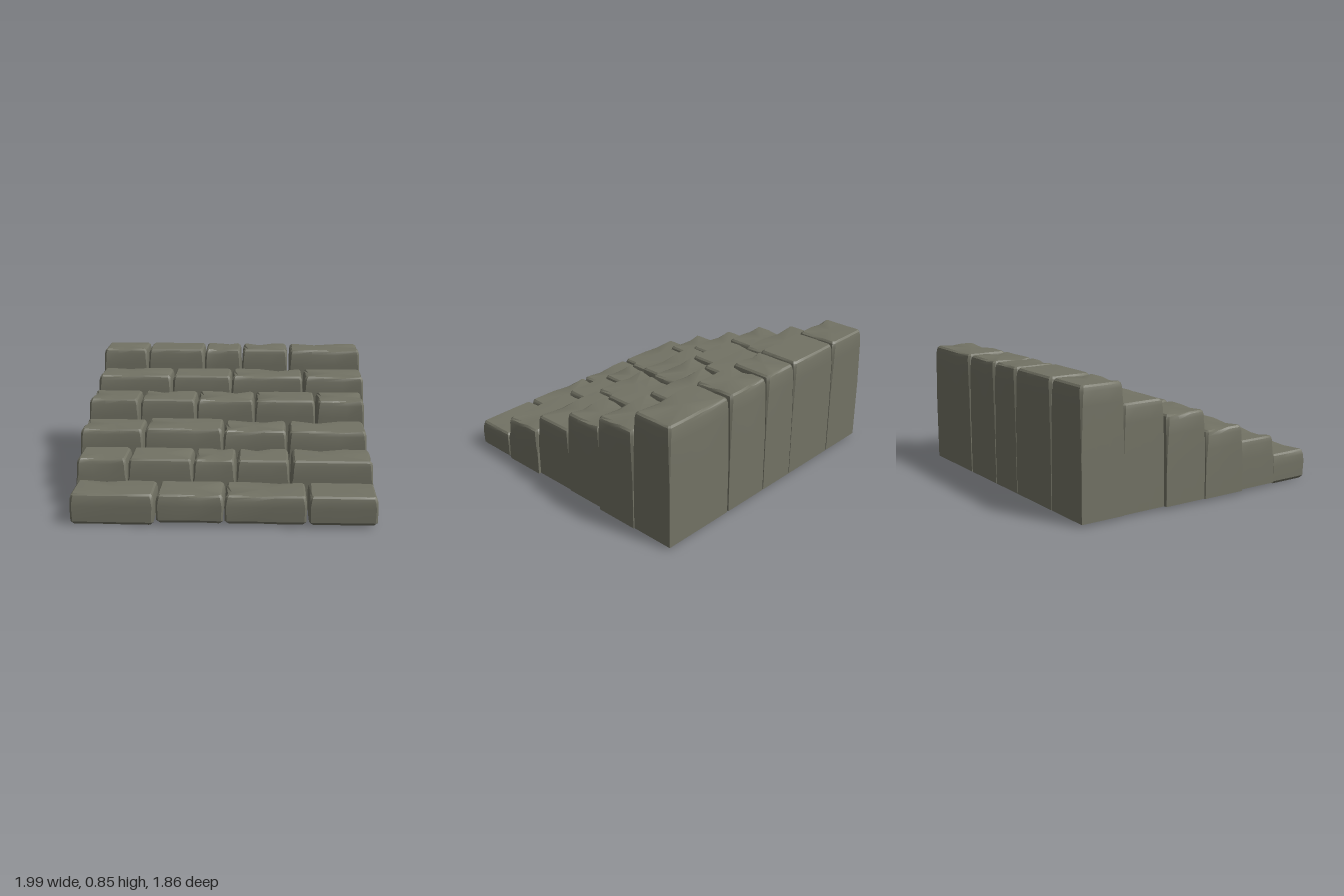
import * as THREE from 'three';
import { toCreasedNormals } from 'three/addons/utils/BufferGeometryUtils.js';

const stone = new THREE.MeshStandardMaterial({ color: 0x727264, side: THREE.DoubleSide });

// Seeded random numbers keep the worn edges repeatable
function seeded(seed) {
  let s = seed * 7919 + 17;
  return () => (s = (s * 16807) % 2147483647) / 2147483647;
}

// Horizontal outline of a block: cut corners plus two points along each side
const CORNERS = [[1, -1], [1, 1], [-1, 1], [-1, -1]];
const COUNT = 16;
function outline(x0, x1, z0, z1, inset, cut) {
  const cx = (x0 + x1) / 2, cz = (z0 + z1) / 2;
  const w = (x1 - x0) / 2 - inset, d = (z1 - z0) / 2 - inset;
  const points = [];
  CORNERS.forEach(([sx, sz], k) => {
    const [nx, nz] = CORNERS[(k + 1) % 4];
    const dx = (nx - sx) / 2, dz = (nz - sz) / 2; // direction of this side
    const len = 2 * (dx ? w : d);
    for (const t of [cut, len * 0.36, len * 0.68, len - cut]) {
      points.push([cx + sx * w + dx * t, cz + sz * d + dz * t]);
    }
  });
  return points;
}

// One worn block lofted from outlines; closed blocks also get a rounded underside
function blockGeometry(x0, x1, z0, z1, bottom, top, closed, seed) {
  const rand = seeded(seed);
  for (let i = 0; i < 5; i++) rand();
  const h = top - bottom;
  // [height, inset, corner cut, wear]
  const levels = closed
    ? [[bottom, 0.02, 0.012, 0.6], [bottom + 0.02, 0.003, 0.014, 0.3]]
    : [[bottom, 0, 0.001, 0], [bottom + h * 0.5, 0, 0.002, 0]];
  levels.push(
    [top - Math.min(0.12, h * 0.4), 0.001, 0.012, 0.2],
    [top - 0.036, 0.003, 0.016, 0.4],
    [top - 0.012, 0.009, 0.016, 0.5],
    [top, 0.02, 0.012, 1]);

  // Chips shared by neighbouring levels so a break runs through the edge
  const chip = Array.from({ length: COUNT }, (_, i) =>
    (i % 4 === 1 || i % 4 === 2) && rand() > 0.65 ? 0.012 + rand() * 0.016 : rand() * 0.004);
  const cx = (x0 + x1) / 2, cz = (z0 + z1) / 2;
  const pos = [], index = [];
  for (const [y, inset, cut, wear] of levels) {
    outline(x0, x1, z0, z1, inset, cut).forEach(([x, z], i) => {
      const side = Math.floor(i / 4);
      const push = chip[i] * wear;
      const px = side === 0 ? -push : side === 2 ? push : 0;
      const pz = side === 1 ? -push : side === 3 ? push : 0;
      const drop = y > bottom + h * 0.6 ? chip[i] * wear * 0.5 : 0;
      pos.push(x + px, y - drop, z + pz);
    });
  }
  for (let l = 0; l < levels.length - 1; l++) {
    for (let i = 0; i < COUNT; i++) {
      const j = (i + 1) % COUNT, a = l * COUNT + i, b = l * COUNT + j;
      index.push(a, a + COUNT, b, b, a + COUNT, b + COUNT);
    }
  }
  // Flat tread on top, and the underside where closed
  const cap = (level, y, up) => {
    const c = pos.length / 3, s = level * COUNT;
    pos.push(cx, y, cz);
    for (let i = 0; i < COUNT; i++) {
      const j = (i + 1) % COUNT;
      if (up) index.push(c, s + j, s + i);
      else index.push(c, s + i, s + j);
    }
  };
  cap(levels.length - 1, top, true);
  if (closed) cap(0, bottom, false);

  const geo = new THREE.BufferGeometry();
  geo.setAttribute('position', new THREE.Float32BufferAttribute(pos, 3));
  geo.setIndex(index);
  return toCreasedNormals(geo, 0.5);
}

export function createModel() {
  const stairs = new THREE.Group();
  stairs.name = 'stoneStairs';

  // Left and right ends of each block in the repeating courses
  const fourBlocks = [[-0.965, -0.425], [-0.415, 0.02], [0.022, 0.548], [0.557, 0.997]];
  const fiveBlocks = [[-0.972, -0.635], [-0.628, -0.2], [-0.196, 0.083], [0.09, 0.44], [0.452, 0.99]];

  // Steps from front to back
  const steps = [
    { z: [0.615, 0.928], top: 0.21, blocks: fourBlocks },
    { z: [0.312, 0.62], top: 0.35, blocks: fiveBlocks },
    { z: [0.002, 0.315], top: 0.468,
      blocks: [[-0.997, -0.563], [-0.553, -0.015], [-0.01, 0.425], [0.437, 0.972]] },
    { z: [-0.308, 0.002], top: 0.607,
      blocks: [[-0.987, -0.628], [-0.618, -0.22], [-0.215, 0.195], [0.2, 0.63], [0.64, 0.978]] },
    { z: [-0.622, -0.312], top: 0.713, blocks: fourBlocks },
    { z: [-0.93, -0.622], top: 0.855, blocks: fiveBlocks },
  ];

  steps.forEach(({ z, top, blocks }, s) => {
    const step = new THREE.Group();
    step.name = `step${s + 1}`;
    blocks.forEach(([x0, x1], b) => {
      const loose = s === 0 && b === 0; // the settled block at the front corner
      const raised = s === 2 && b === 1 ? 0.01 : 0;
      const mesh = new THREE.Mesh(
        blockGeometry(x0, x1, z[0], z[1], loose ? 0.003 : 0.02, top + raised, s === 0, s * 11 + b + 3),
        stone);
      mesh.name = `step${s + 1}Block${b + 1}`;
      step.add(mesh);
    });
    stairs.add(step);
  });
  return stairs;
}
